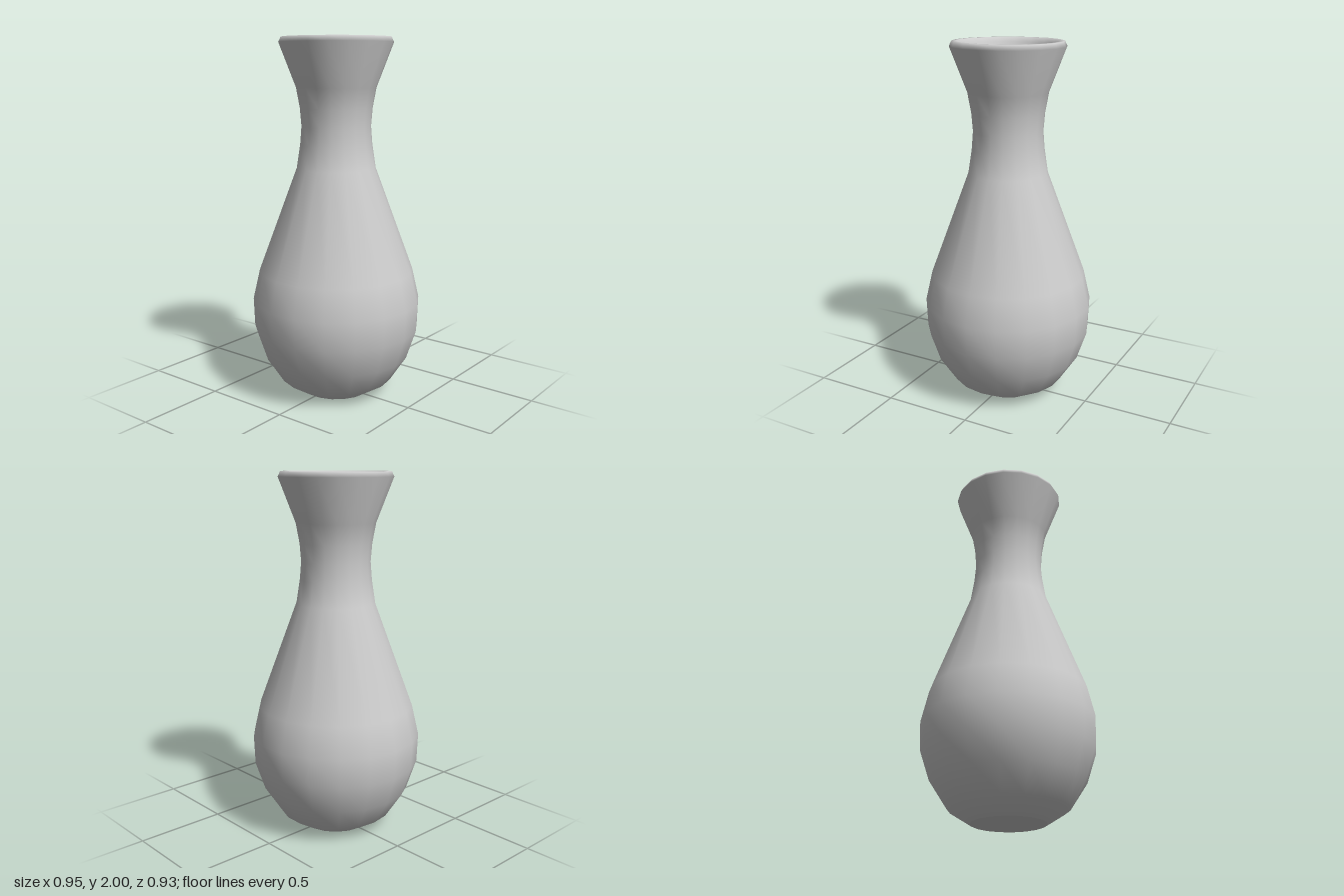
import * as THREE from 'three';

const SIDES = 18;

// Profile of [radius, height] pairs turned around the y axis
function turned(name, profile, material) {
  const points = profile.map(([r, y]) => new THREE.Vector2(r, y));
  const mesh = new THREE.Mesh(new THREE.LatheGeometry(points, SIDES, Math.PI / 2), material);
  mesh.name = name;
  return mesh;
}

export function createModel() {
  const group = new THREE.Group();
  group.name = 'vase';
  const material = new THREE.MeshStandardMaterial({ color: 0xcccccc });

  // Foot, belly, neck, flared lip, then down the inner wall
  group.add(turned('body', [
    [0.2, 0], [0.32, 0.075], [0.415, 0.22], [0.468, 0.38], [0.474, 0.54], [0.435, 0.71],
    [0.22, 1.29], [0.2, 1.42], [0.192, 1.52], [0.2, 1.62], [0.22, 1.73],
    [0.313, 1.972], [0.3, 2], [0.275, 2], [0.255, 1.975],
    [0.162, 1.745], [0.14, 1.63], [0.13, 1.52], [0.14, 1.41], [0.162, 1.275],
    [0.376, 0.69], [0.412, 0.535], [0.408, 0.39], [0.365, 0.255], [0.285, 0.13], [0.18, 0.065],
  ], material));

  // Flat underside and flat inner floor
  group.add(turned('base', [[0, 0], [0.2, 0]], material));
  group.add(turned('innerFloor', [[0.18, 0.065], [0, 0.065]], material));
  return group;
}
